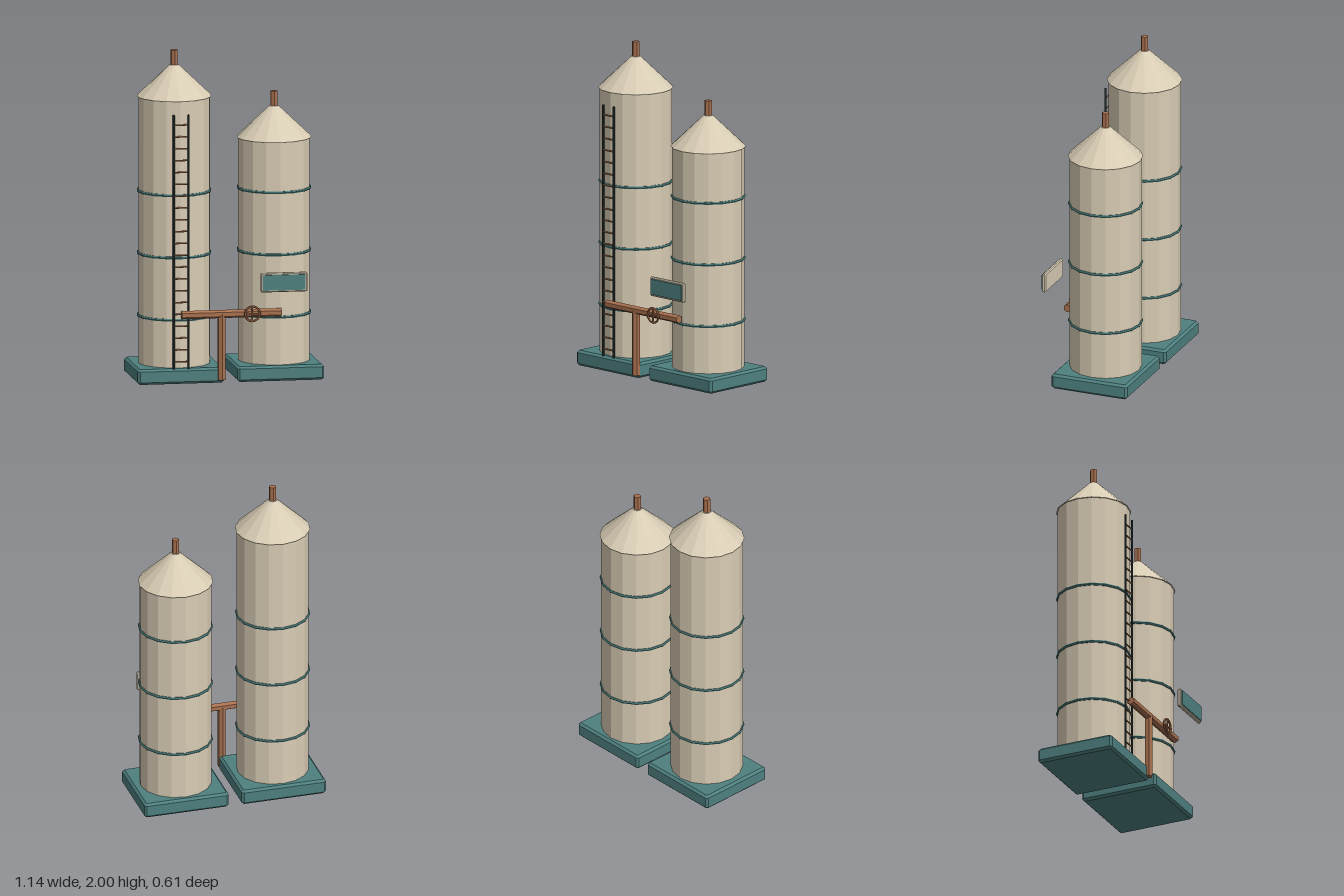
import * as THREE from 'three';

const mat = (name, color) => {
  const m = new THREE.MeshStandardMaterial({ color, flatShading: true });
  m.name = name;
  return m;
};

export function createModel() {
  const cream = mat('cream metal', 0xd8ccb4);
  const teal = mat('teal paint', 0x4e807f);
  const copper = mat('copper', 0xa8704f);
  const iron = mat('dark iron', 0x2c3a38);

  const root = new THREE.Group();
  root.name = 'twinSilos';

  const add = (parent, name, geo, material, x = 0, y = 0, z = 0) => {
    const m = new THREE.Mesh(geo, material);
    m.name = name;
    m.position.set(x, y, z);
    parent.add(m);
    return m;
  };
  const group = (name, x = 0, y = 0, z = 0) => {
    const g = new THREE.Group();
    g.name = name;
    g.position.set(x, y, z);
    root.add(g);
    return g;
  };

  // Box with 45 degree chamfers on every edge, depth along z
  const chamferBox = (w, h, d, c) => {
    const a = w / 2 - c, b = h / 2 - c, k = c * 0.4;
    const s = new THREE.Shape([
      [-a + k, -b], [a - k, -b], [a, -b + k], [a, b - k],
      [a - k, b], [-a + k, b], [-a, b - k], [-a, -b + k],
    ].map(([x, y]) => new THREE.Vector2(x, y)));
    const geo = new THREE.ExtrudeGeometry(s, {
      depth: d - 2 * c, bevelEnabled: true, bevelSegments: 1, bevelSize: c, bevelThickness: c,
    });
    return geo.translate(0, 0, c - d / 2);
  };

  // Silos: pad, wall, hoops, conical roof and vent
  const silo = (name, x, wallTop) => {
    const g = group(name, x, 0, -0.061);
    add(g, 'basePad', chamferBox(0.53, 0.494, 0.094, 0.014).rotateX(-Math.PI / 2), teal, 0, 0.047);
    const h = wallTop - 0.085;
    add(g, 'wall', new THREE.CylinderGeometry(0.218, 0.218, h, 16), cream, 0, 0.085 + h / 2);
    for (const y of [0.385, 0.765, 1.145])
      add(g, 'hoop', new THREE.TorusGeometry(0.218, 0.009, 6, 16).rotateX(Math.PI / 2), teal, 0, y);
    add(g, 'roof', new THREE.CylinderGeometry(0.028, 0.227, 0.19, 16), cream, 0, wallTop + 0.095);
    add(g, 'vent', new THREE.CylinderGeometry(0.0225, 0.0225, 0.12, 6), copper, 0, wallTop + 0.22);
  };
  silo('tallSilo', -0.305, 1.72);
  silo('shortSilo', 0.305, 1.452);

  // Ladder on the tall silo
  const ladder = group('ladder', -0.305, 0, 0.174);
  for (const s of [-1, 1])
    add(ladder, 'rail', new THREE.CylinderGeometry(0.007, 0.007, 1.55, 6), iron, s * 0.045, 0.865);
  const rung = new THREE.CylinderGeometry(0.005, 0.005, 0.09, 6).rotateZ(Math.PI / 2);
  for (let i = 0; i < 21; i++) add(ladder, 'rung', rung, copper, 0, 0.135 + i * 0.0722);

  // Transfer pipe with its down pipe
  const pipes = group('pipework', 0, 0, 0.188);
  add(pipes, 'crossPipe',
    new THREE.CylinderGeometry(0.025, 0.025, 0.61, 6, 1, false, Math.PI / 2).rotateZ(Math.PI / 2),
    copper, 0, 0.421);
  add(pipes, 'downPipe', new THREE.CylinderGeometry(0.025, 0.025, 0.4, 6), copper, -0.06, 0.22);

  // Valve wheel
  const wheel = group('valveWheel', 0.122, 0.423, 0.226);
  add(wheel, 'rim', new THREE.TorusGeometry(0.045, 0.007, 6, 16), copper);
  for (const r of [0, Math.PI / 2])
    add(wheel, 'spoke', new THREE.CylinderGeometry(0.005, 0.005, 0.09, 6), copper).rotation.z = r;

  // Sign board with a painted panel
  const sign = group('sign', 0.304, 0.621, 0.284);
  add(sign, 'board', chamferBox(0.284, 0.118, 0.024, 0.006), cream);
  add(sign, 'panel', new THREE.BoxGeometry(0.26, 0.094, 0.008), teal, 0, 0, 0.015);

  return root;
}
